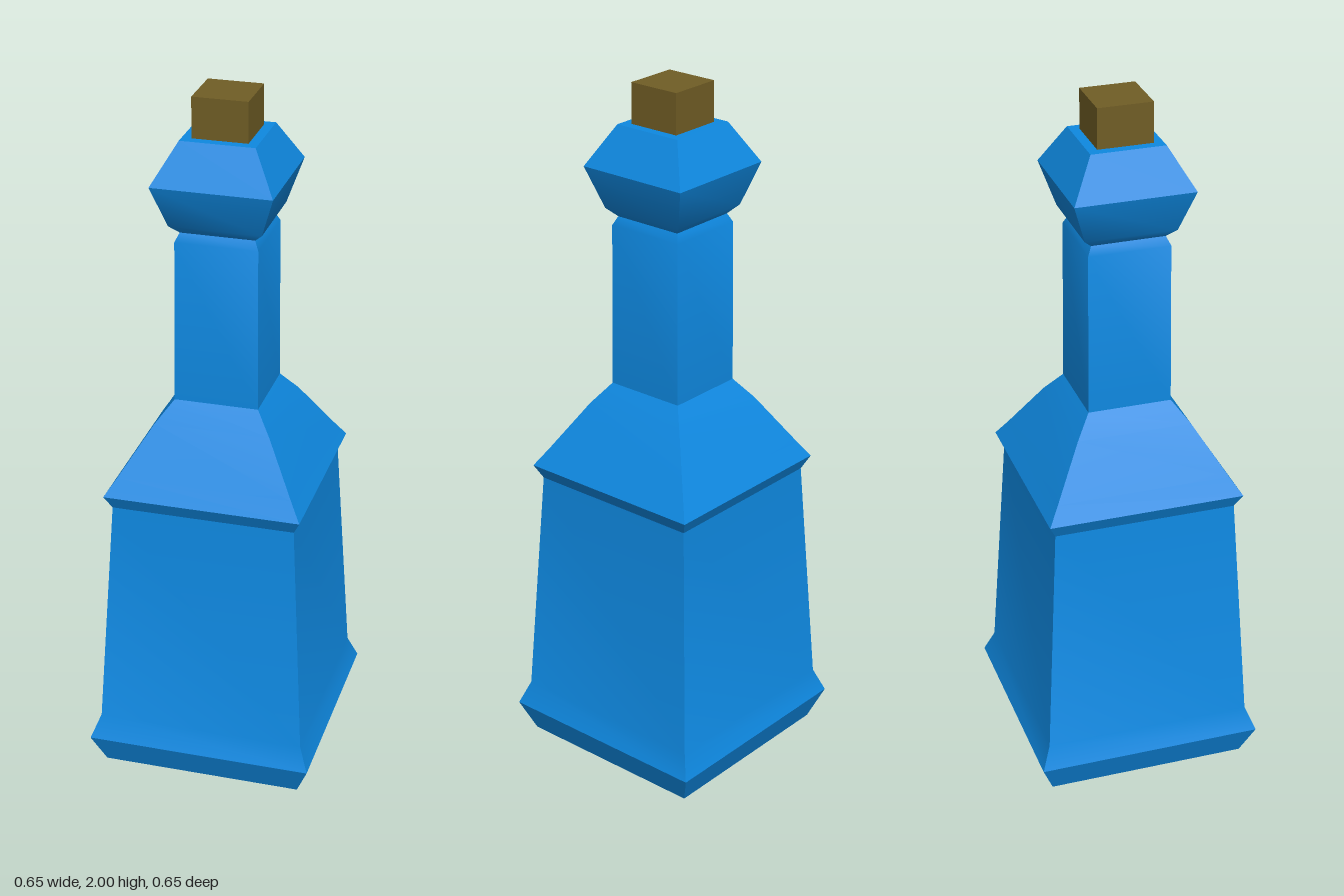
import * as THREE from 'three';
import { toCreasedNormals } from 'three/addons/utils/BufferGeometryUtils.js';

export function createModel() {
  const group = new THREE.Group();
  group.name = 'squareBottle';
  const glass = new THREE.MeshStandardMaterial({ color: 0x0e88e0 });
  const corkMaterial = new THREE.MeshStandardMaterial({ color: 0x705d25 });

  // Bottle: [half width, height] profile swept round a square
  const profile = [
    [0, 0], [0.29, 0], [0.327, 0.09], [0.3, 0.16],   // foot
    [0.262, 0.84], [0.282, 0.88],                    // body and rim
    [0.25, 0.93], [0.165, 1.07], [0.12, 1.13],       // shoulder
    [0.117, 1.6], [0.105, 1.625],                    // neck
    [0.13, 1.65], [0.17, 1.77], [0.105, 1.885], [0, 1.885], // lip
  ].map(([half, y]) => new THREE.Vector2(half * Math.SQRT2, y));
  const bottle = new THREE.Mesh(
    toCreasedNormals(new THREE.LatheGeometry(profile, 4, Math.PI / 4), 0.5), glass);
  bottle.name = 'bottle';

  // Cork: square stopper in the mouth
  const cork = new THREE.Mesh(new THREE.BoxGeometry(0.156, 0.13, 0.156), corkMaterial);
  cork.name = 'cork';
  cork.position.y = 1.935;

  group.add(bottle, cork);
  return group;
}
